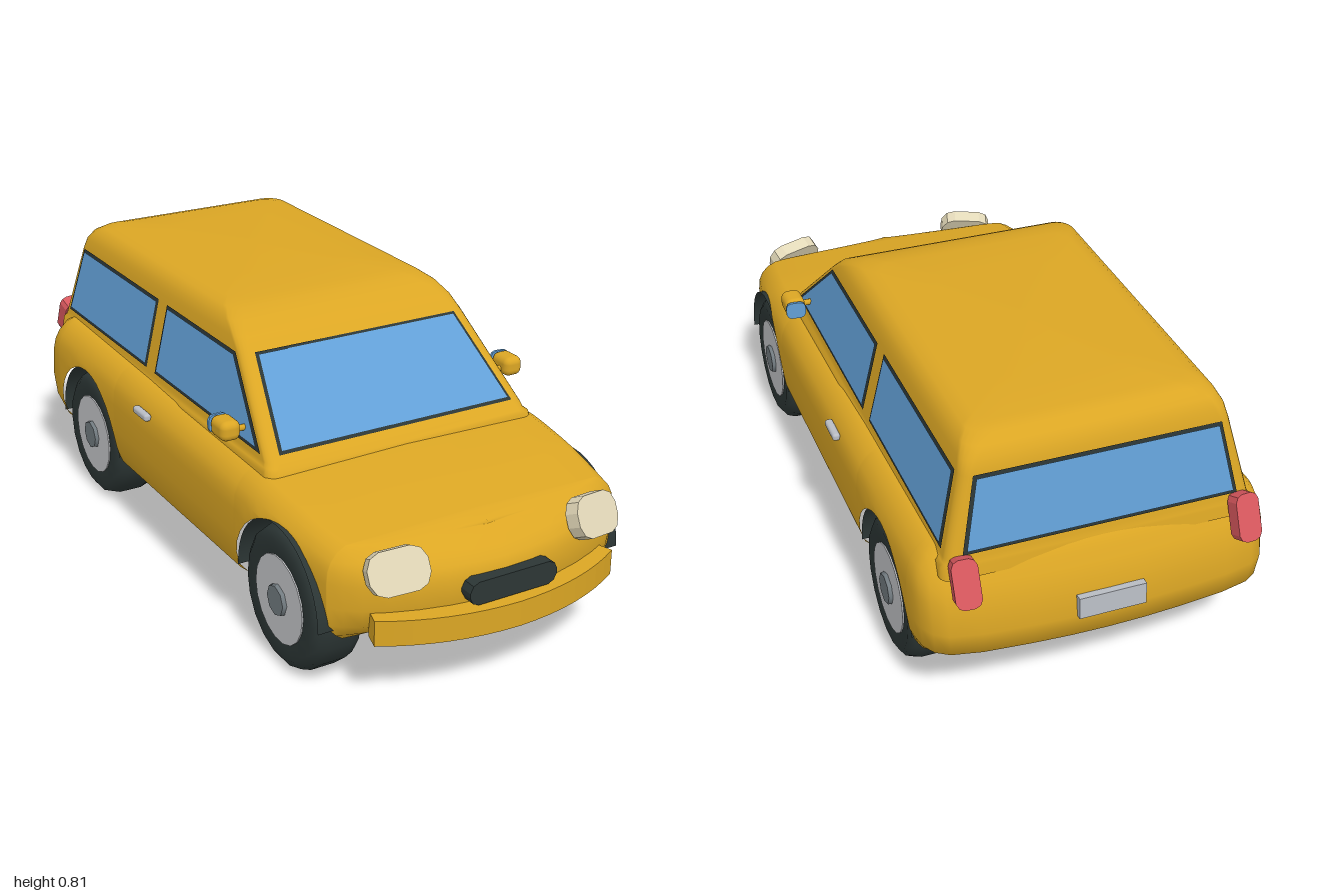
import * as THREE from 'three';
import { mergeVertices } from 'three/addons/utils/BufferGeometryUtils.js';
import { RoundedBoxGeometry } from 'three/addons/geometries/RoundedBoxGeometry.js';

const mat = (name, color, side = THREE.FrontSide) => {
  const m = new THREE.MeshStandardMaterial({ color, side });
  m.name = name;
  return m;
};
const paint = mat('yellow paint', 0xdba624);
const glass = mat('blue glass', 0x629fd6, THREE.DoubleSide);
const rubber = mat('dark rubber', 0x2c3635, THREE.DoubleSide);
const rimGrey = mat('rim grey', 0xc6c8cb);
const hubGrey = mat('hub grey', 0x737c81);
const red = mat('lamp red', 0xd8585e);
const cream = mat('lamp cream', 0xe2d8b8);
const silver = mat('silver', 0xb9bdc4);

// Linear lookup in a table of rows [key, value, ...] with rising keys
function lookup(table, key, col = 1) {
  if (key <= table[0][0]) return table[0][col];
  for (let i = 1; i < table.length; i++) {
    const a = table[i - 1], b = table[i];
    if (key <= b[0]) return a[col] + (b[col] - a[col]) * (key - a[0]) / (b[0] - a[0]);
  }
  return table[table.length - 1][col];
}

// Skin over rows of points
function skin(rows) {
  const n = rows[0].length, index = [];
  for (let i = 0; i < rows.length - 1; i++) for (let j = 0; j < n - 1; j++) {
    const a = i * n + j, b = a + n;
    index.push(a, b, a + 1, b, b + 1, a + 1);
  }
  const g = new THREE.BufferGeometry();
  g.setAttribute('position', new THREE.Float32BufferAttribute(rows.flat(2), 3));
  g.setIndex(index);
  const merged = mergeVertices(g, 1e-5);
  merged.computeVertexNormals();
  return merged;
}

const AXLES = [0.59, -0.6], ARCH = 0.21, SILL = 0.165;
const archHeight = z => {
  for (const c of AXLES) {
    const d = Math.abs(z - c);
    if (d <= ARCH + 1e-6) return 0.2 + Math.sqrt(Math.max(0, ARCH * ARCH - d * d));
  }
  return 0;
};
const beltHeight = [[-0.9, 0.5], [0.45, 0.472], [0.62, 0.452], [0.8, 0.422], [0.85, 0.405]];
// Height fraction, side inset, nose inset, tail inset
const profile = [[0, 0.045, 0.13, 0.13], [0.07, 0.02, 0.08, 0.07], [0.2, 0.006, 0.02, 0.01], [0.4, 0, 0, 0],
  [0.65, 0, 0.005, 0.015], [0.78, 0.004, 0.02, 0.035], [0.87, 0.015, 0.045, 0.05], [0.95, 0.035, 0.075, 0.065], [1, 0.062, 0.1, 0.085]];

// Plan outline of one side, nose to tail
function planStations() {
  const side = z => [0.475 - 0.035 * Math.max(0, (z - 0.4) / 0.4) ** 2, z];
  const out = [[0, 0.945], [0.08, 0.94], [0.16, 0.928], [0.24, 0.908], [0.31, 0.883], [0.37, 0.855], [0.41, 0.828], [0.432, 0.805]];
  for (const c of AXLES) {
    for (let i = 0; i <= 16; i++) out.push(side(c + ARCH * Math.cos(i * Math.PI / 16)));
    out.push(side(c - ARCH - 0.004));
    if (c > 0) for (const z of [0.2, 0, -0.2, -0.386]) out.push(side(z));
  }
  return out.concat([[0.472, -0.85], [0.465, -0.89], [0.445, -0.925], [0.41, -0.948], [0.33, -0.965], [0.2, -0.977], [0.1, -0.983], [0, -0.985]]);
}
function bodyPoint([X, Z], t, arched = true) {
  const k = THREE.MathUtils.clamp((Math.abs(Z) - 0.79) / 0.15, 0, 1), s = Math.sign(Z), col = Z > 0 ? 2 : 3;
  const top = lookup(beltHeight, Z - s * k * lookup(profile, 1, col));
  const y = Math.max(SILL + t * (top - SILL), arched ? archHeight(Z) : 0);
  const f = (y - SILL) / (top - SILL);
  return [X * (1 - lookup(profile, f) / 0.475), y, Z - s * k * lookup(profile, f, col)];
}
function lowerBody() {
  return skin(planStations().map(st => {
    const half = [];
    for (const [t] of profile) half.push(bodyPoint(st, t));
    const [x, y, z] = half[half.length - 1];
    for (const f of [0.8, 0.4]) half.push([x * f, y + 0.008 * (1 - f), z]);
    return [...half, [0, y + 0.008, z], ...half.slice().reverse().map(p => [-p[0], p[1], p[2]])];
  }));
}
// Flat floor, narrowed beside the wheels
function floorPan() {
  return skin(planStations().map(st => {
    const [bx, y, z] = bodyPoint(st, 0, false);
    const x = archHeight(st[1]) ? Math.min(bx, 0.29) : bx;
    return [[-x, y, z], [x, y, z]];
  }));
}

// Cabin levels: height, half width, front z, rear z
const cabin = [[0.45, 0.42, 0.473, -0.925], [0.48, 0.417, 0.468, -0.92], [0.487, 0.408, 0.455, -0.918], [0.5, 0.405, 0.447, -0.914],
  [0.71, 0.355, 0.215, -0.875], [0.745, 0.347, 0.175, -0.866], [0.772, 0.333, 0.125, -0.848], [0.789, 0.312, 0.075, -0.822],
  [0.798, 0.28, 0.02, -0.785], [0.804, 0.17, -0.12, -0.65], [0.808, 0.031, -0.35, -0.412]];
function cabinShell() {
  const rows = cabin.map(([y, w, zf, zr], i) => {
    const r = i < 5 ? 0.03 : Math.min(0.055, 0.03 + (i - 4) * 0.008, w), ring = [];
    [[1, zf - r], [-1, zf - r], [-1, zr + r], [1, zr + r]].forEach(([s, cz], q) => {
      for (let a = 0; a <= 5; a++) {
        const t = (q + a / 5) * Math.PI / 2;
        ring.push([s * (w - r) + r * Math.cos(t), y, cz + r * Math.sin(t)]);
      }
    });
    return [...ring, ring[0]];
  });
  rows.push(rows[0].map(() => [0, 0.808, -0.38]));
  return skin(rows);
}

// Flat-sided pill outline
function pill(w, h, c) {
  const s = new THREE.Shape(), x = w / 2, y = h / 2;
  s.setFromPoints([[x, -y + c], [x, y - c], [x - c * 0.35, y - c * 0.3], [x - c, y], [c - x, y], [c * 0.35 - x, y - c * 0.3], [-x, y - c], [-x, c - y],
    [c * 0.35 - x, c * 0.3 - y], [c - x, -y], [x - c, -y], [x - c * 0.35, c * 0.3 - y]].map(p => new THREE.Vector2(...p)));
  return s;
}
const slab = (shape, depth) => new THREE.ExtrudeGeometry(shape, { depth, bevelEnabled: false }).translate(0, 0, -depth / 2);

export function createModel() {
  const car = new THREE.Group();
  car.name = 'car';
  const add = (name, geometry, material, pos = [0, 0, 0], rot = [0, 0, 0]) => {
    const m = new THREE.Mesh(geometry, material);
    m.name = name;
    m.position.set(...pos);
    m.rotation.set(...rot);
    car.add(m);
    return m;
  };

  add('lowerBody', lowerBody(), paint);
  add('floor', floorPan(), paint);
  add('cabin', cabinShell(), paint);

  // Windows: a dark seal plate with a smaller glass plate on top
  const pane = (name, corners, material, inset, lift) => {
    const p = corners.map(c => new THREE.Vector3(...c));
    const mid = p.reduce((s, v) => s.add(v), new THREE.Vector3()).multiplyScalar(0.25);
    const n = p[1].clone().sub(p[0]).cross(p[3].clone().sub(p[0])).normalize();
    if (n.dot(mid.clone().sub(new THREE.Vector3(0, 0.5, -0.25))) < 0) { n.negate(); p.reverse(); }
    const pts = p.map((v, i) => {
      const a = p[(i + 1) % 4].clone().sub(v).normalize(), b = p[(i + 3) % 4].clone().sub(v).normalize();
      const k = inset / a.clone().cross(b).length();
      return v.clone().addScaledVector(a, k).addScaledVector(b, k).addScaledVector(n, lift).toArray();
    });
    add(name, skin([[pts[0], pts[3]], [pts[1], pts[2]]]), material);
  };
  const windowPane = (name, corners) => {
    pane(name + 'Seal', corners, rubber, 0, 0.003);
    pane(name, corners, glass, 0.009, 0.006);
  };
  const low = 0.513, high = 0.713;
  const across = (col, xl, xh) => [[-xl, low, lookup(cabin, low, col)], [xl, low, lookup(cabin, low, col)],
    [xh, high, lookup(cabin, high, col)], [-xh, high, lookup(cabin, high, col)]];
  windowPane('windscreen', across(2, 0.367, 0.317));
  windowPane('rearWindow', across(3, 0.365, 0.325));

  for (const s of [1, -1]) {
    const side = s > 0 ? 'left' : 'right';
    const along = zs => zs.map((z, i) => { const y = i < 2 ? low : high; return [s * lookup(cabin, y), y, z]; });
    windowPane(side + 'FrontWindow', along([0.4, -0.24, -0.24, 0.18]));
    windowPane(side + 'BackWindow', along([-0.295, -0.87, -0.838, -0.295]));

    // Lamps
    add(side + 'Headlight', slab(pill(0.157, 0.112, 0.038), 0.04), cream, [s * 0.297, 0.376, 0.891], [-0.45, s * 0.25, 0]);
    add(side + 'TailLight', slab(pill(0.066, 0.125, 0.02), 0.04), red, [s * 0.372, 0.463, -0.952], [0.42, s * -0.12, 0]);

    // Mirrors and door handles
    add(side + 'MirrorArm', new THREE.CylinderGeometry(0.009, 0.009, 0.07, 8), paint, [s * 0.405, 0.551, 0.3], [0, 0, Math.PI / 2]);
    add(side + 'Mirror', new RoundedBoxGeometry(0.058, 0.056, 0.08, 3, 0.02), paint, [s * 0.45, 0.559, 0.295]);
    add(side + 'MirrorGlass', slab(pill(0.056, 0.05, 0.014), 0.008), glass, [s * 0.453, 0.559, 0.253], [0, s * -0.1, 0]);
    add(side + 'DoorHandle', new RoundedBoxGeometry(0.022, 0.022, 0.085, 2, 0.008), silver, [s * 0.476, 0.426, -0.18]);

    // Wheels and arch liners
    for (const z of AXLES) {
      const end = side + (z > 0 ? 'Front' : 'Rear');
      const ring = [[0.05, -0.073], [0.165, -0.075], [0.186, -0.06], [0.195, -0.035], [0.195, 0.035], [0.186, 0.06], [0.165, 0.075], [0.12, 0.07]];
      const tyre = new THREE.LatheGeometry(ring.map(p => new THREE.Vector2(...p)), 18);
      const turn = [0, 0, -s * Math.PI / 2];
      add(end + 'Tyre', tyre, rubber, [s * 0.385, 0.195, z], turn);
      add(end + 'Rim', new THREE.CylinderGeometry(0.122, 0.122, 0.13, 18), rimGrey, [s * 0.394, 0.195, z], turn);
      add(end + 'Hub', new THREE.CylinderGeometry(0.042, 0.046, 0.02, 8), hubGrey, [s * 0.46, 0.195, z], turn);
      const liner = new THREE.CylinderGeometry(ARCH, ARCH, 0.18, 20, 1, true, 0, Math.PI);
      add(end + 'ArchLiner', liner.rotateZ(Math.PI / 2), rubber, [s * 0.375, 0.2, z]);
    }
  }

  // Curved front bumper
  const bar = new THREE.Shape();
  bar.moveTo(-0.365, -0.9);
  bar.quadraticCurveTo(-0.2, -0.995, 0, -0.998);
  bar.quadraticCurveTo(0.2, -0.995, 0.365, -0.9);
  bar.lineTo(0.35, -0.85);
  bar.quadraticCurveTo(0, -0.95, -0.35, -0.85);
  const bumper = new THREE.ExtrudeGeometry(bar, { depth: 0.07, bevelEnabled: false, curveSegments: 8 });
  add('frontBumper', bumper, paint, [0, 0.19, 0], [-Math.PI / 2, 0, 0]).scale.set(1, 1, 1);
  bumper.scale(1, -1, 1).rotateX(Math.PI);
  bumper.index ? bumper.index : null;
  bumper.rotateX(-Math.PI);
  // Restore the facing and the forward direction of the bar
  bumper.scale(1, -1, 1);
  
  add('grille', slab(pill(0.264, 0.064, 0.026), 0.06), rubber, [0, 0.296, 0.937]);
  add('numberPlate', new THREE.BoxGeometry(0.18, 0.06, 0.02), silver, [0, 0.33, -0.985], [0.06, 0, 0]);
  return car;
}
